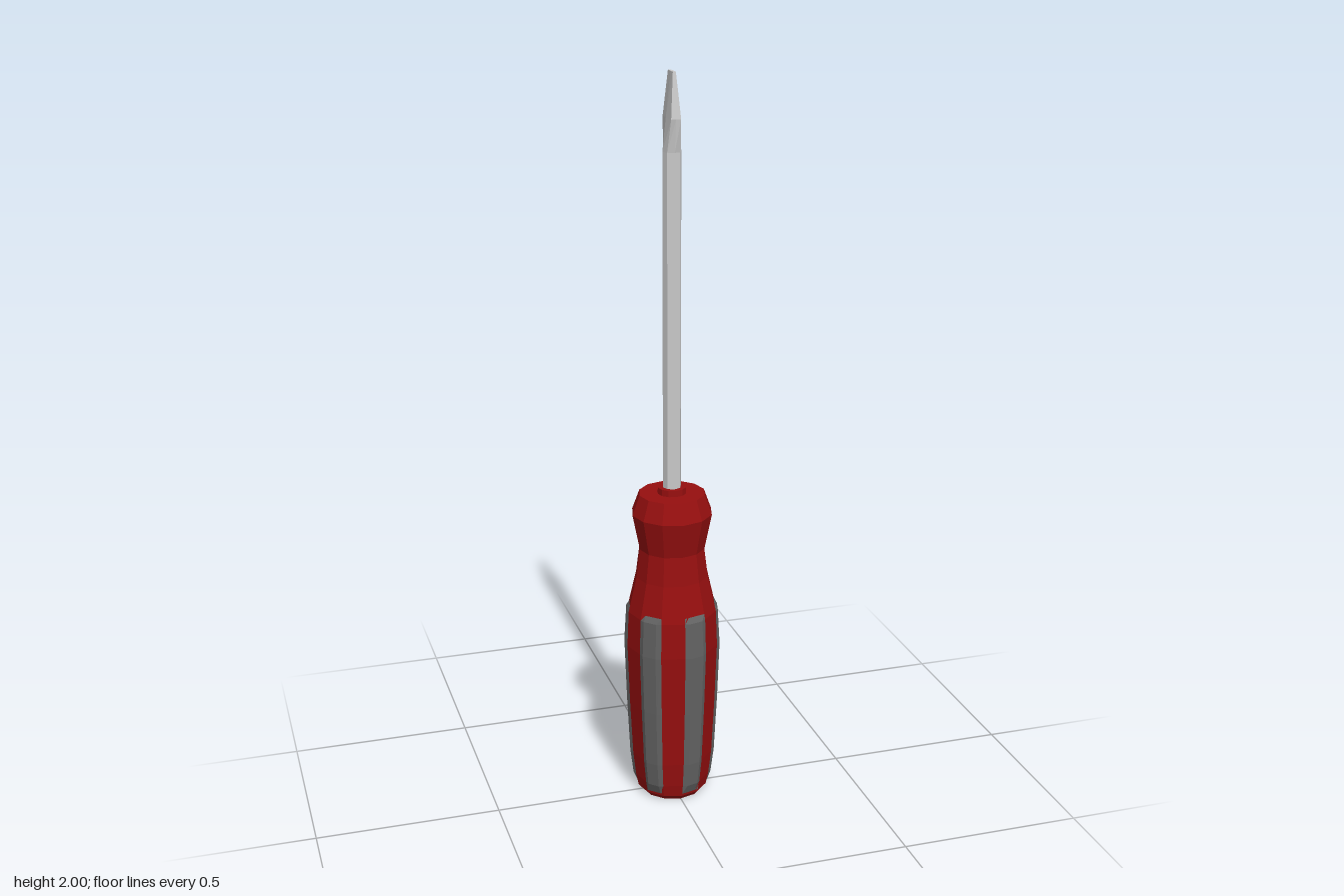
import * as THREE from 'three';

// Handle outline as [radius, height]
const OUTLINE = [
  [0, 0], [0.085, 0], [0.098, 0.015], [0.105, 0.05], [0.113, 0.12], [0.121, 0.28],
  [0.127, 0.45], [0.123, 0.55], [0.1, 0.65], [0.09, 0.73], [0.11, 0.83], [0.09, 0.885], [0, 0.885],
];
const SIDES = 12;

function radiusAt(y) {
  for (let i = 2; i < OUTLINE.length - 1; i++) {
    const [r0, y0] = OUTLINE[i - 1], [r1, y1] = OUTLINE[i];
    if (y <= y1) return r0 + (r1 - r0) * (y - y0) / (y1 - y0);
  }
  return 0;
}

// Skin of quads between equal-sized rings, listed bottom to top, each counterclockwise from above
function loft(rings) {
  const n = rings[0].length, index = [];
  for (let j = 0; j < rings.length - 1; j++) {
    for (let i = 0; i < n; i++) {
      const k = (i + 1) % n, a = j * n + i, b = j * n + k;
      index.push(a, b, b + n, a, b + n, a + n);
    }
  }
  const top = (rings.length - 1) * n;
  for (let i = 1; i < n - 1; i++) index.push(0, i + 1, i, top, top + i, top + i + 1);
  const geometry = new THREE.BufferGeometry();
  geometry.setAttribute('position', new THREE.Float32BufferAttribute(rings.flat(2), 3));
  geometry.setIndex(index);
  geometry.computeVertexNormals();
  return geometry;
}

// Raised strip that covers one flat side of the handle, with bevelled edges
function gripGeometry() {
  const stations = [[0.022, 0], [0.05, 0.007], [0.12, 0.008], [0.28, 0.008], [0.45, 0.008], [0.55, 0.006], [0.565, 0]];
  const half = Math.PI / SIDES;
  return loft(stations.map(([y, lift]) => {
    const r = radiusAt(y), w = r * Math.sin(half), z = r * Math.cos(half);
    return [[-w, y, z], [-w * 0.6, y, z + lift], [w * 0.6, y, z + lift], [w, y, z]];
  }));
}

// Flat blade: from the round shaft, flaring sideways, to a thin edge
function bladeGeometry() {
  const ring = (y, xMid, xSide, zSide, zMid) => [
    [0, y, zMid], [xSide, y, zSide], [xMid, y, 0], [xSide, y, -zSide],
    [0, y, -zMid], [-xSide, y, -zSide], [-xMid, y, 0], [-xSide, y, zSide],
  ];
  return loft([
    ring(1.8, 0.025, 0.018, 0.018, 0.025),
    ring(1.885, 0.016, 0.013, 0.037, 0.037),
    ring(2, 0.004, 0.004, 0.021, 0.021),
  ]);
}

export function createModel() {
  const model = new THREE.Group();
  const paint = (color) => new THREE.MeshStandardMaterial({ color, flatShading: true });
  const red = paint(0x960f0f), dark = paint(0x626262), steel = paint(0xcccccc);
  const add = (name, geometry, material, y = 0) => {
    const mesh = new THREE.Mesh(geometry, material);
    mesh.name = name;
    mesh.position.y = y;
    model.add(mesh);
    return mesh;
  };

  // Handle and the collar around the shaft
  add('handle', new THREE.LatheGeometry(OUTLINE.map(([r, y]) => new THREE.Vector2(r, y)), SIDES), red);
  add('collar', new THREE.CylinderGeometry(0.038, 0.04, 0.03, SIDES), red, 0.887);

  // Six grips on every second side
  const grip = gripGeometry();
  for (let i = 0; i < 6; i++) {
    add('grip' + (i + 1), grip, dark).rotation.y = Math.PI / SIDES + i * Math.PI / 3;
  }

  // Shaft and blade
  add('shaft', new THREE.CylinderGeometry(0.025, 0.025, 0.93, 8), steel, 1.335);
  add('blade', bladeGeometry(), steel);
  return model;
}
